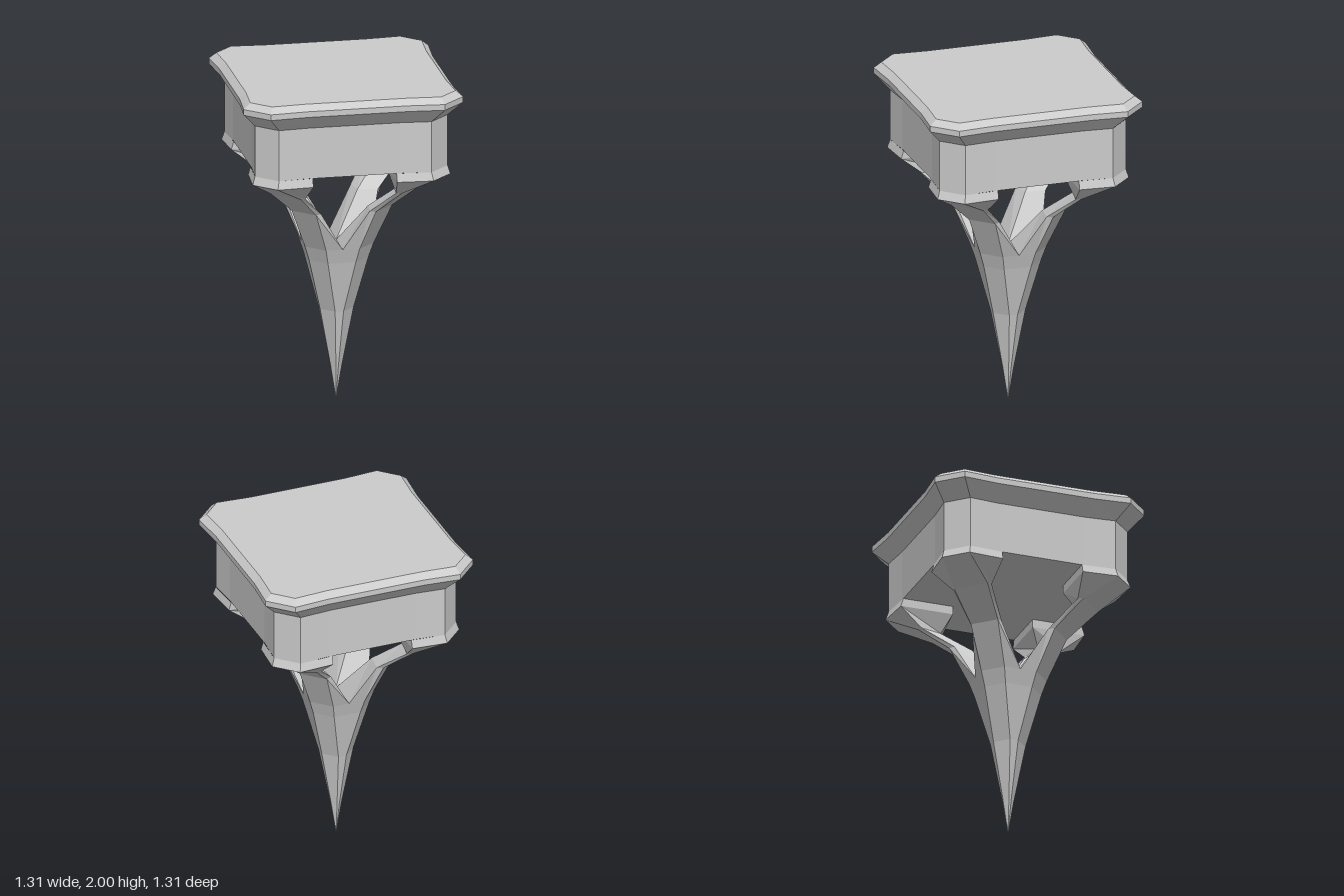
import * as THREE from 'three';

const material = new THREE.MeshStandardMaterial({ color: 0xcccccc, flatShading: true });

// Skins a stack of [y, loop] sections, listed bottom to top; loops hold [x, z] points.
function loft(name, sections, capBottom, capTop) {
  const pos = [];
  const put = (y, p) => pos.push(p[0], y, p[1]);
  const n = sections[0][1].length;
  for (let s = 0; s < sections.length - 1; s++) {
    const [y0, low] = sections[s];
    const [y1, high] = sections[s + 1];
    for (let i = 0; i < n; i++) {
      const j = (i + 1) % n;
      put(y0, low[i]); put(y1, high[i]); put(y1, high[j]);
      put(y0, low[i]); put(y1, high[j]); put(y0, low[j]);
    }
  }
  const cap = ([y, loop], up) => {
    for (let i = 0; i < n; i++) {
      const a = loop[i], b = loop[(i + 1) % n];
      put(y, [0, 0]); put(y, up ? b : a); put(y, up ? a : b);
    }
  };
  if (capBottom) cap(sections[0], false);
  if (capTop) cap(sections[sections.length - 1], true);
  const geometry = new THREE.BufferGeometry();
  geometry.setAttribute('position', new THREE.Float32BufferAttribute(pos, 3));
  geometry.computeVertexNormals();
  const mesh = new THREE.Mesh(geometry, material);
  mesh.name = name;
  return mesh;
}

// Repeats the points of one corner four times around the vertical axis.
function fourfold(points) {
  const loop = [];
  let quarter = points;
  for (let k = 0; k < 4; k++) {
    loop.push(...quarter);
    quarter = quarter.map(([x, z]) => [-z, x]);
  }
  return loop;
}

// Square with cut corners and slightly hollow sides.
const slab = (a, b, mid, m) => fourfold([[mid, m], [a, b], [b, a], [m, mid]]);
const octagon = (a, b) => fourfold([[a, b], [b, a]]);
// Leg section: outer face, two side edges and the inner ridge.
const legLoop = (a, b, c, d, e) => [[a, b], [b, a], [c, d], [e, e], [d, c]];

export function createModel() {
  const model = new THREE.Group();
  model.name = 'pedestal';

  // Bevelled top slab
  model.add(loft('topSlab', [
    [1.84, slab(0.575, 0.455, 0.56, 0.27)],
    [1.93, slab(0.655, 0.52, 0.637, 0.3)],
    [1.965, slab(0.655, 0.52, 0.637, 0.3)],
    [2.0, slab(0.613, 0.505, 0.598, 0.3)],
  ], false, true));

  // Body block under the slab
  model.add(loft('body', [
    [1.53, slab(0.575, 0.455, 0.56, 0.27)],
    [1.84, slab(0.575, 0.455, 0.56, 0.27)],
  ], true, false));

  // Pointed spike where the legs merge
  model.add(loft('spike', [
    [0, octagon(0.001, 0.0004)],
    [0.2, octagon(0.033, 0.007)],
    [0.56, octagon(0.1, 0.025)],
    [0.88, octagon(0.177, 0.083)],
    [0.97, octagon(0.205, 0.1)],
  ], true, false));

  // Four curved corner legs with flared feet against the body
  const leg = loft('leg', [
    [0.97, legLoop(0.205, 0.1, 0, 0.205, 0)],
    [1.22, legLoop(0.3, 0.178, 0.145, 0.28, 0.16)],
    [1.37, legLoop(0.45, 0.3, 0.27, 0.44, 0.305)],
    [1.48, legLoop(0.59, 0.465, 0.25, 0.575, 0.25)],
    [1.53, legLoop(0.575, 0.455, 0.25, 0.56, 0.25)],
  ], false, false);
  for (let k = 0; k < 4; k++) {
    const copy = leg.clone();
    copy.name = 'leg' + (k + 1);
    copy.rotation.y = k * Math.PI / 2;
    model.add(copy);
  }
  return model;
}
